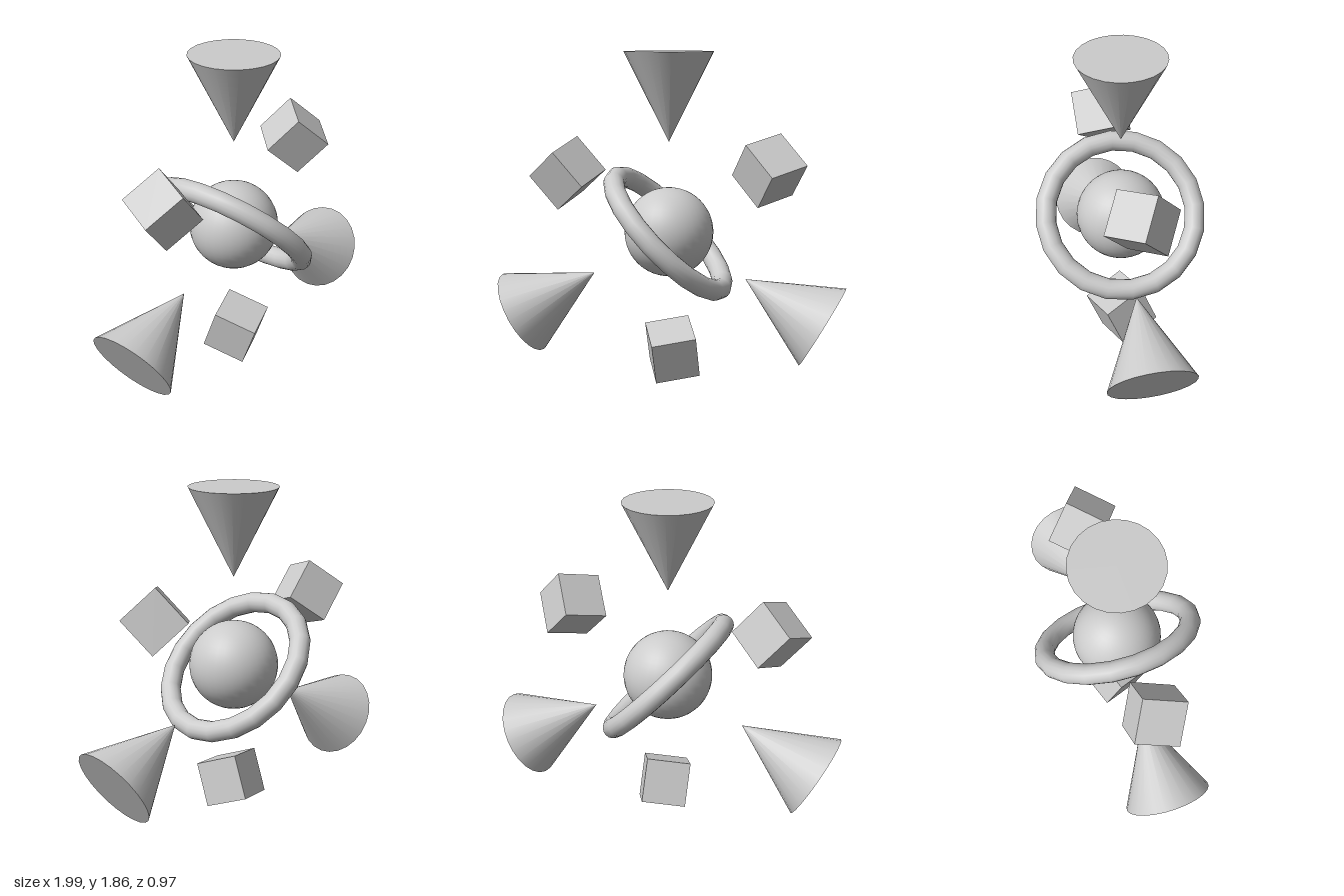
import * as THREE from 'three';

const CENTER_Y = 0.858;

export function createModel() {
  const model = new THREE.Group();
  const smooth = new THREE.MeshStandardMaterial({ color: 0xcccccc });
  const flat = new THREE.MeshStandardMaterial({ color: 0xcccccc, flatShading: true });

  const add = (name, geometry, material = smooth) => {
    const mesh = new THREE.Mesh(geometry, material);
    mesh.name = name;
    model.add(mesh);
    return mesh;
  };

  // Central ball and the tilted ring around it
  add('coreSphere', new THREE.SphereGeometry(0.25, 32, 24)).position.y = CENTER_Y;
  const ring = add('orbitRing', new THREE.TorusGeometry(0.427, 0.058, 16, 20).rotateX(Math.PI / 2));
  ring.position.y = CENTER_Y - 0.005;
  ring.rotation.z = -0.8;

  // Three cones, 120 degrees apart, tips pointing at the ball
  const coneGeometry = new THREE.ConeGeometry(0.25, 0.5, 24);
  ['topCone', 'rightCone', 'leftCone'].forEach((name, i) => {
    const angle = Math.PI / 2 + (i * Math.PI * 2) / 3;
    const cone = add(name, coneGeometry);
    cone.position.set(0.755 * Math.cos(angle), CENTER_Y + 0.755 * Math.sin(angle), 0);
    cone.rotation.z = angle + Math.PI / 2;
  });

  // Tumbled cubes between the cones, each oriented by two of its edge directions
  const cubeGeometry = new THREE.BoxGeometry(0.251, 0.251, 0.251);
  const cubes = [
    ['leftCube', [0.564, 1.217], [-30, 31, -18.7], [31, 10, -33.9]],
    ['rightCube', [-0.591, 1.176], [-32, -27, -19.5], [30, -35, -1.7]],
    ['bottomCube', [0.02, 0.181], [-17, 16, -41], [44, 7, -15.6]],
  ];
  for (const [name, [x, y], edgeA, edgeB] of cubes) {
    const a = new THREE.Vector3(...edgeA).normalize();
    const c = a.clone().cross(new THREE.Vector3(...edgeB)).normalize();
    const b = c.clone().cross(a);
    const cube = add(name, cubeGeometry, flat);
    cube.quaternion.setFromRotationMatrix(new THREE.Matrix4().makeBasis(a, b, c));
    cube.position.set(x, y, 0);
  }

  return model;
}
